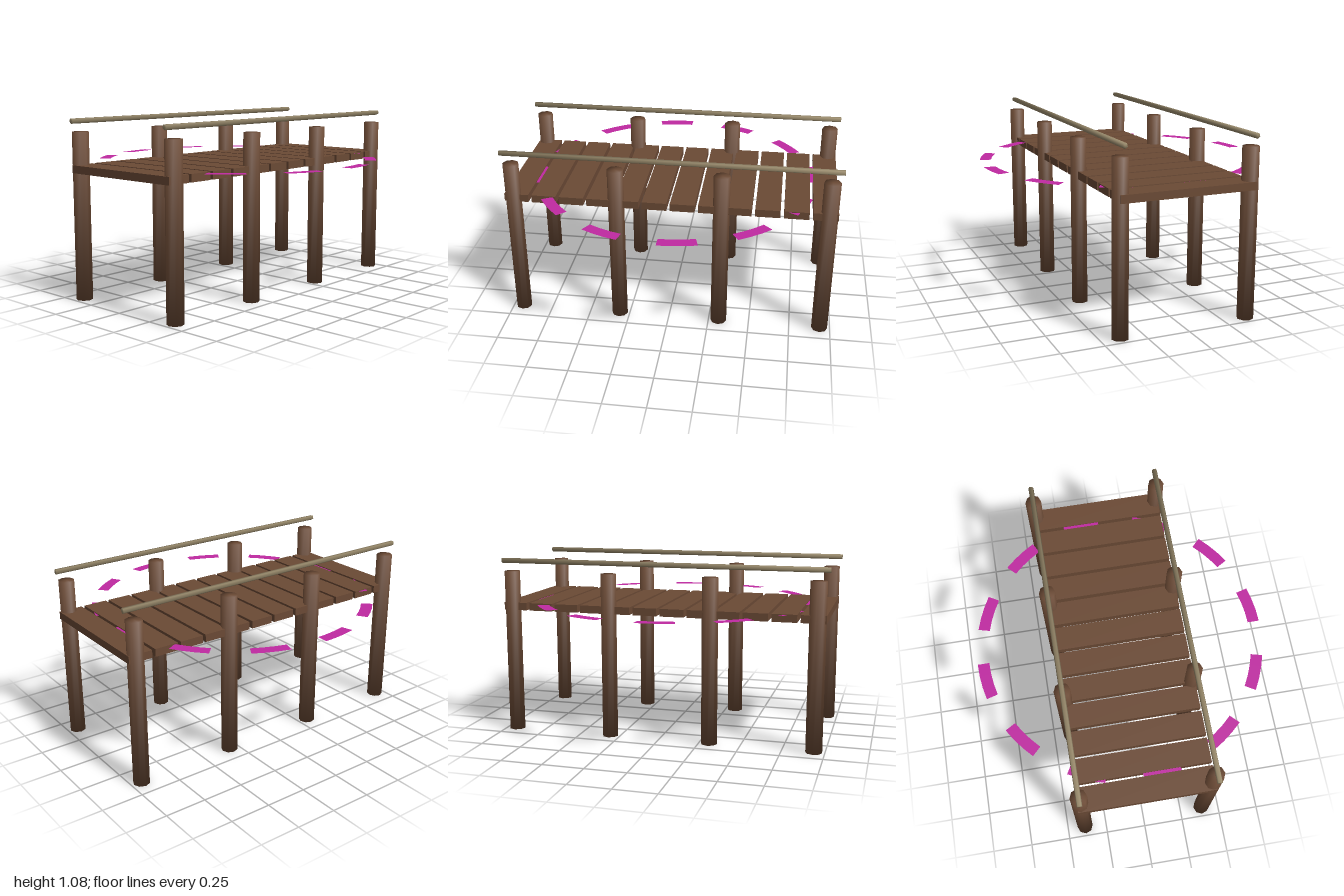
import * as THREE from 'three';

const wood = new THREE.MeshStandardMaterial({ name: 'brown wood', color: 0x6b4a35 });
const rope = new THREE.MeshStandardMaterial({ name: 'tan rope', color: 0x9a8b6c });
const magenta = new THREE.MeshStandardMaterial({ name: 'magenta marker', color: 0xc02aa2, side: THREE.DoubleSide });

// Cylinder whose rim normals blend the side and the end caps
function softCylinder(radius, height, sides) {
  const geo = new THREE.CylinderGeometry(radius, radius, height, sides);
  const pos = geo.attributes.position, nor = geo.attributes.normal;
  const n = new THREE.Vector3();
  for (let i = 0; i < pos.count; i++) {
    n.set(pos.getX(i) / radius, 0.8 * Math.sign(pos.getY(i)), pos.getZ(i) / radius).normalize();
    nor.setXYZ(i, n.x, n.y, n.z);
  }
  return geo;
}

function add(parent, name, geometry, material, x, y, z) {
  const mesh = new THREE.Mesh(geometry, material);
  mesh.name = name;
  mesh.position.set(x, y, z);
  parent.add(mesh);
}

export function createModel() {
  const model = new THREE.Group();
  model.name = 'dock';

  // Deck planks across the walkway
  const deck = new THREE.Group();
  deck.name = 'deck';
  const plankGeo = new THREE.BoxGeometry(0.81, 0.046, 0.146);
  for (let i = 0; i < 12; i++) add(deck, 'plank', plankGeo, wood, 0, 0.783, (i - 5.5) * 0.1662);

  // Posts and rope rails on both sides
  const posts = new THREE.Group();
  posts.name = 'posts';
  const postGeo = softCylinder(0.049, 1, 8);
  const railGeo = softCylinder(0.0165, 2, 5).rotateX(Math.PI / 2);
  for (const side of [-1, 1]) {
    for (let i = 0; i < 4; i++) add(posts, 'post', postGeo, wood, side * 0.388, 0.5, (i - 1.5) * 0.624);
    add(model, side > 0 ? 'leftRail' : 'rightRail', railGeo, rope, side * 0.388, 1.064, 0);
  }

  // Flat dashed ring around the deck
  const ring = new THREE.Group();
  ring.name = 'dashedRing';
  const step = Math.PI / 12;
  for (let i = 0; i < 12; i++) {
    const dash = new THREE.RingGeometry(0.8, 0.87, 1, 1, i * 2 * step, step).rotateX(-Math.PI / 2);
    add(ring, 'dash', dash, magenta, 0, 0.801, 0);
  }

  model.add(deck, posts, ring);
  return model;
}
